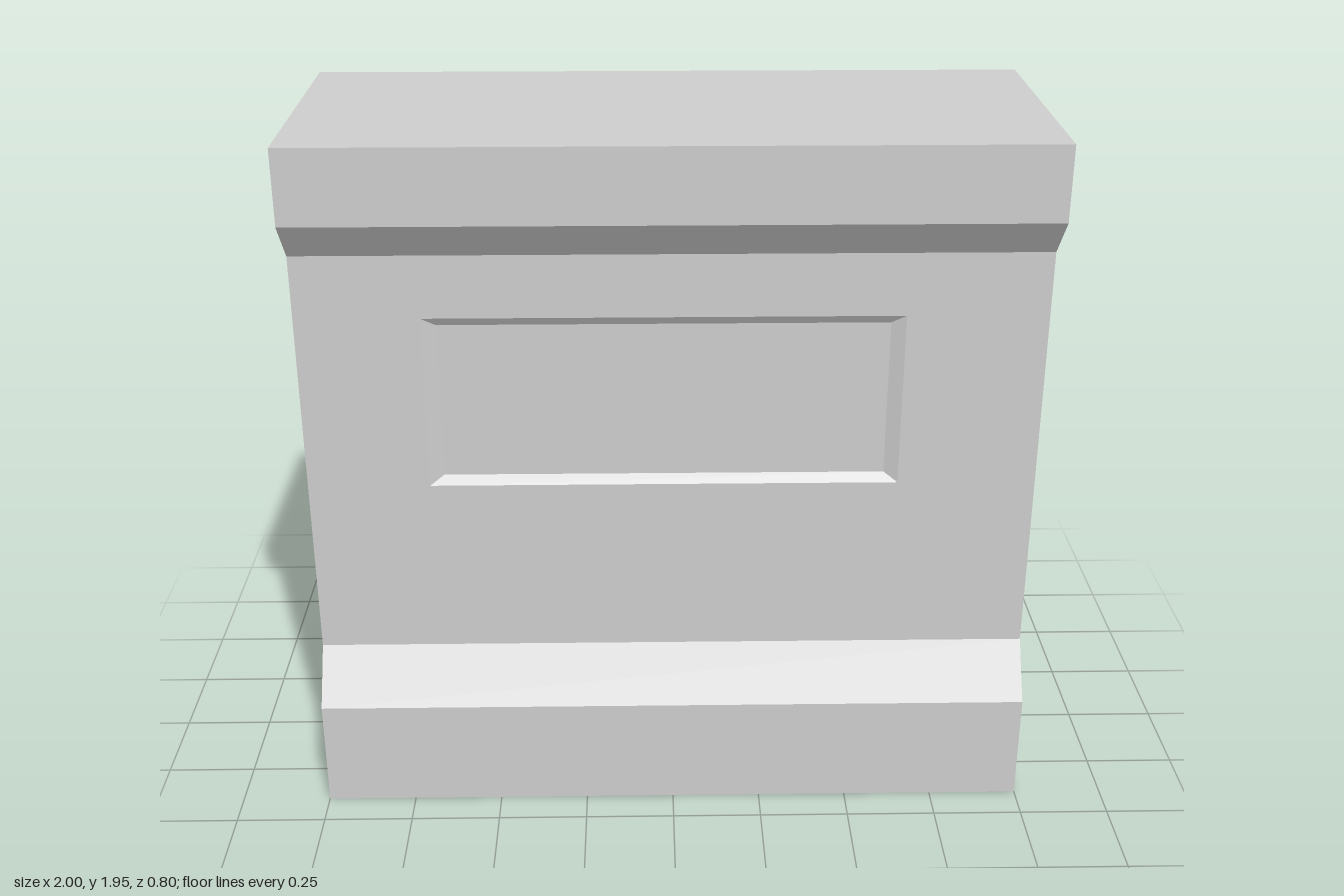
import * as THREE from 'three';

const stone = new THREE.MeshStandardMaterial({ color: 0xcccccc });
stone.name = 'greyStone';

// Side profile as [z, y]: up the front, over the top, down the back
const profile = [
  [0.4, 0], [0.4, 0.31], [0.3, 0.46], [0.3, 1.63], [0.4, 1.74], [0.4, 1.945],
  [-0.4, 1.945], [-0.4, 1.74], [-0.295, 1.63], [-0.295, 0.46], [-0.4, 0.31], [-0.4, 0],
];
const WALL_SEGMENTS = [2, 8]; // upright faces that carry a sunken panel
const DEPTH = 0.018;

// Flat-shaded geometry from four-cornered faces
function quads(faces) {
  const pos = faces.flatMap(([a, b, c, d]) => [a, b, c, a, c, d].flat());
  const geometry = new THREE.BufferGeometry();
  geometry.setAttribute('position', new THREE.Float32BufferAttribute(pos, 3));
  geometry.computeVertexNormals();
  return geometry;
}

function rect(x0, x1, y0, y1) {
  return [[x0, y0], [x1, y0], [x1, y1], [x0, y1]];
}

const toShape = (pts) => new THREE.Shape(pts.map(([x, y]) => new THREE.Vector2(x, y)));

function add(parent, geometry, name) {
  const mesh = new THREE.Mesh(geometry, stone);
  mesh.name = name;
  parent.add(mesh);
  return mesh;
}

// Wall facing +z with a bevelled, sunken panel between x0 and x1
function panelWall(name, x0, x1) {
  const wall = new THREE.Group();
  wall.name = name;
  const outer = rect(x0, x1, 0.965, 1.455);
  const inner = rect(x0 + 0.038, x1 - 0.038, 0.99, 1.43);

  const face = toShape(rect(-1, 1, 0.46, 1.63));
  face.holes.push(toShape(outer));
  add(wall, new THREE.ShapeGeometry(face), 'wallFace');

  const bevels = outer.map((p, i) => {
    const j = (i + 1) % 4;
    return [[...p, 0], [...outer[j], 0], [...inner[j], -DEPTH], [...inner[i], -DEPTH]];
  });
  add(wall, quads(bevels), 'panelBevel');
  add(wall, new THREE.ShapeGeometry(toShape(inner)).translate(0, 0, -DEPTH), 'panelFloor');
  return wall;
}

export function createModel() {
  const model = new THREE.Group();
  model.name = 'pedestal';

  // Plinth, cornice, top and underside as strips along x
  const strips = [];
  profile.forEach(([z, y], i) => {
    if (WALL_SEGMENTS.includes(i)) return;
    const [z2, y2] = profile[(i + 1) % profile.length];
    strips.push([[-1, y, z], [1, y, z], [1, y2, z2], [-1, y2, z2]]);
  });
  add(model, quads(strips), 'plinthAndCornice');

  // Flat ends
  for (const side of [1, -1]) {
    const cap = new THREE.ShapeGeometry(toShape(profile.map(([z, y]) => [-side * z, y])));
    cap.rotateY(side * Math.PI / 2).translate(side, 0, 0);
    add(model, cap, side > 0 ? 'leftEnd' : 'rightEnd');
  }

  // Front and back walls
  const front = panelWall('frontWall', -0.665, 0.62);
  front.position.z = 0.3;
  const back = panelWall('backWall', -0.62, 0.665);
  back.rotation.y = Math.PI;
  back.position.z = -0.295;
  model.add(front, back);

  return model;
}
